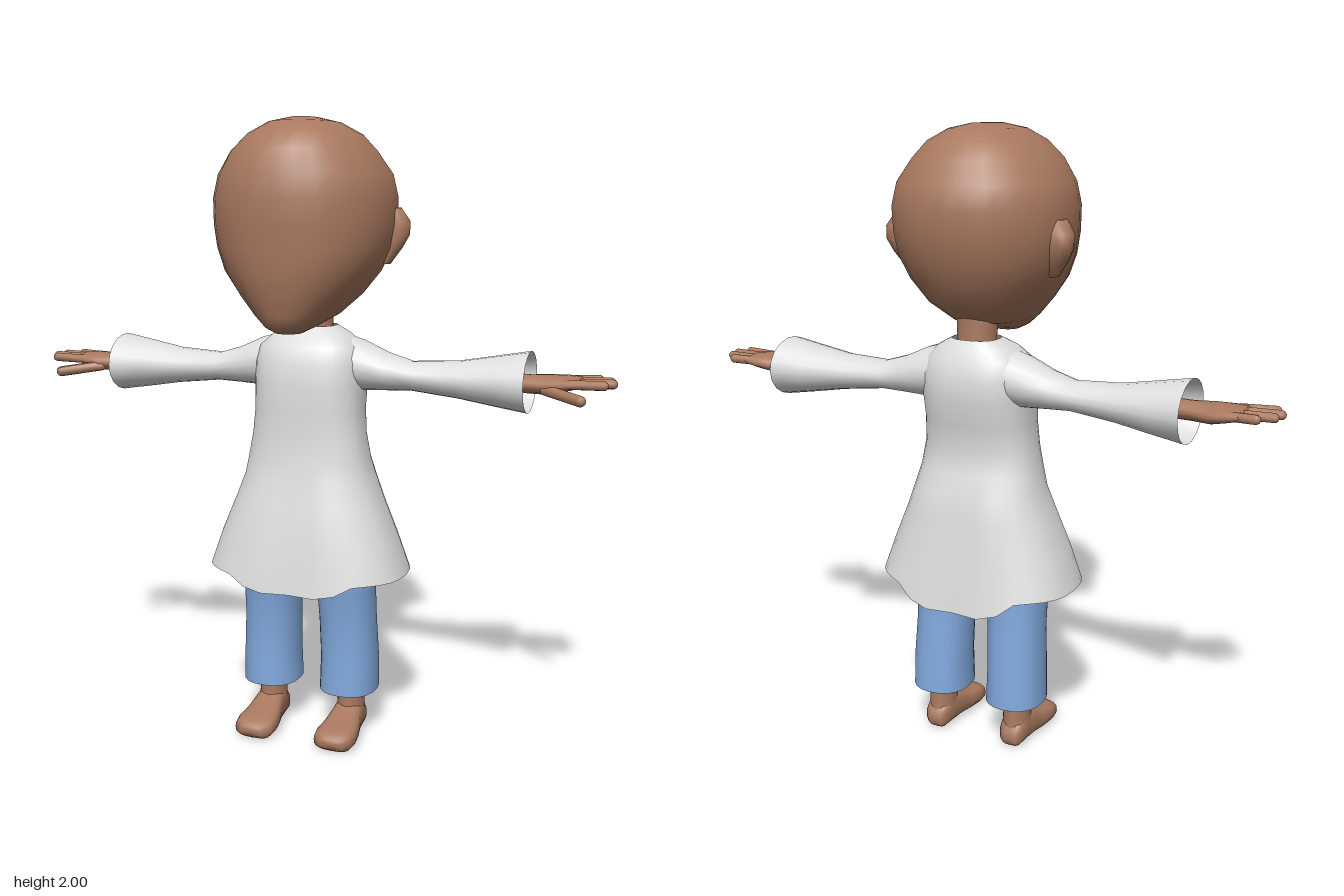
import * as THREE from 'three';

const skin = new THREE.MeshStandardMaterial({ color: 0xa9795f });
skin.name = 'skin';
const coatCloth = new THREE.MeshStandardMaterial({ color: 0xdedede, side: THREE.DoubleSide });
coatCloth.name = 'white cloth';
const denim = new THREE.MeshStandardMaterial({ color: 0x82aade, side: THREE.DoubleSide });
denim.name = 'blue denim';

// Smooth skin over superellipse sections [w, u0, u1, v0, v1], w rising along the axis.
// (u, v) is (x, z) for axis y, (z, y) for axis x and (y, x) for axis z.
function loft(axis, sections, { n = 20, e = 2, caps = '', warp } = {}) {
  const pos = [], index = [];
  const put = (w, u, v, s = 0) => {
    const p = axis === 'y' ? new THREE.Vector3(u, w, v)
      : axis === 'x' ? new THREE.Vector3(w, v, u) : new THREE.Vector3(v, u, w);
    if (warp) warp(p, s);
    pos.push(p.x, p.y, p.z);
  };
  const pw = (t) => Math.sign(t) * Math.abs(t) ** (2 / e);
  for (const [w, u0, u1, v0, v1] of sections) {
    for (let j = 0; j < n; j++) {
      const a = (j / n) * Math.PI * 2, s = Math.sin(a);
      put(w, (u0 + u1) / 2 + (u1 - u0) / 2 * pw(Math.cos(a)), (v0 + v1) / 2 + (v1 - v0) / 2 * pw(s), s);
    }
  }
  const last = sections.length - 1;
  for (let i = 0; i < last; i++) {
    for (let j = 0; j < n; j++) {
      const a = i * n + j, b = i * n + (j + 1) % n;
      index.push(a, a + n, b, b, a + n, b + n);
    }
  }
  for (const [flag, i] of [['s', 0], ['e', last]]) {
    if (!caps.includes(flag)) continue;
    const [w, u0, u1, v0, v1] = sections[i], c = pos.length / 3;
    put(w, (u0 + u1) / 2, (v0 + v1) / 2);
    for (let j = 0; j < n; j++) {
      const a = i * n + j, b = i * n + (j + 1) % n;
      index.push(...(i ? [a, c, b] : [a, b, c]));
    }
  }
  const g = new THREE.BufferGeometry();
  g.setAttribute('position', new THREE.Float32BufferAttribute(pos, 3));
  g.setIndex(index);
  g.computeVertexNormals();
  return g;
}

// Rounded stick between two points
function stick(from, to, r) {
  const a = new THREE.Vector3(...from), b = new THREE.Vector3(...to);
  const d = b.clone().sub(a), g = new THREE.CapsuleGeometry(r, d.length(), 4, 10);
  g.applyQuaternion(new THREE.Quaternion().setFromUnitVectors(new THREE.Vector3(0, 1, 0), d.normalize()));
  const m = a.add(b).multiplyScalar(0.5);
  return g.translate(m.x, m.y, m.z);
}

function mirrored(geometry) {
  const g = geometry.clone().scale(-1, 1, 1), ix = g.index.array;
  for (let i = 0; i < ix.length; i += 3) [ix[i], ix[i + 1]] = [ix[i + 1], ix[i]];
  g.computeVertexNormals();
  return g;
}

export function createModel() {
  const model = new THREE.Group();
  model.name = 'figure';
  const add = (name, geometry, material) => {
    const m = new THREE.Mesh(geometry, material);
    m.name = name;
    model.add(m);
  };
  const pair = (name, geometry, material) => {
    add('left' + name, geometry, material);
    add('right' + name, mirrored(geometry), material);
  };
  // Rows [y, half width, back z, front z] for parts centred on x = 0
  const sym = (rows) => rows.map(([y, w, b, f]) => [y, -w, w, b, f]);

  // Head with a slanted jaw, ears and neck
  add('head', loft('y', sym([
    [1.357, 0.04, 0.11, 0.2], [1.375, 0.075, 0.05, 0.232], [1.41, 0.125, -0.1, 0.25],
    [1.47, 0.185, -0.19, 0.268], [1.54, 0.238, -0.235, 0.285], [1.61, 0.268, -0.268, 0.29],
    [1.68, 0.28, -0.285, 0.295], [1.76, 0.281, -0.295, 0.3], [1.83, 0.265, -0.28, 0.287],
    [1.9, 0.218, -0.24, 0.268], [1.95, 0.17, -0.2, 0.22], [1.985, 0.105, -0.14, 0.16],
    [2.0, 0.04, -0.06, 0.08],
  ]), { n: 28, e: 2.15, caps: 'se' }), skin);
  pair('Ear', loft('y', [
    [1.56, 0.23, 0.26, -0.06, -0.02], [1.61, 0.22, 0.295, -0.09, -0.015],
    [1.65, 0.22, 0.316, -0.105, -0.015], [1.69, 0.22, 0.316, -0.105, -0.015],
    [1.73, 0.22, 0.29, -0.085, -0.02],
  ], { n: 12, caps: 'se' }), skin);
  add('neck', loft('y', sym([
    [1.28, 0.075, -0.13, 0], [1.36, 0.062, -0.125, -0.005], [1.45, 0.068, -0.125, 0.01],
  ])), skin);

  // Flared coat: hem dips at front and back, with a shallow centre pleat
  add('coat', loft('y', sym([
    [0.57, 0.332, -0.255, 0.192], [0.68, 0.293, -0.23, 0.17], [0.8, 0.244, -0.208, 0.142],
    [0.88, 0.214, -0.195, 0.12], [0.94, 0.2, -0.165, 0.108], [1.02, 0.185, -0.155, 0.1],
    [1.1, 0.178, -0.17, 0.1], [1.18, 0.18, -0.187, 0.1], [1.25, 0.18, -0.187, 0.092],
    [1.3, 0.165, -0.17, 0.075], [1.335, 0.125, -0.152, 0.045], [1.362, 0.075, -0.135, 0.003],
  ]), {
    n: 32, e: 2.5,
    warp: (p, s) => {
      if (p.y < 0.86 && Math.abs(s) > 0.99) p.z -= Math.sign(s) * 0.015;
      if (p.y < 0.6) p.y -= THREE.MathUtils.smoothstep(Math.abs(s), 0.8, 0.99) * (s > 0 ? 0.045 : 0.065);
    },
  }), coatCloth);

  // Sleeves, open at the cuff
  pair('Sleeve', loft('x', [
    [0.08, -0.15, 0.03, 1.165, 1.345], [0.17, -0.155, 0.03, 1.158, 1.318],
    [0.25, -0.142, 0.012, 1.162, 1.282], [0.33, -0.133, 0, 1.165, 1.258],
    [0.48, -0.152, 0.008, 1.148, 1.266], [0.6, -0.18, 0.026, 1.128, 1.287],
    [0.697, -0.202, 0.042, 1.113, 1.304],
  ], { n: 18 }), coatCloth);

  // Forearm and palm, fingers and thumb
  pair('Hand', loft('x', [
    [0.35, -0.1, -0.03, 1.18, 1.245], [0.6, -0.1, -0.025, 1.18, 1.24],
    [0.7, -0.105, -0.015, 1.178, 1.236], [0.76, -0.135, 0.01, 1.178, 1.238],
    [0.81, -0.145, 0.008, 1.19, 1.238], [0.845, -0.142, 0.003, 1.2, 1.235],
    [0.855, -0.135, -0.005, 1.207, 1.23],
  ], { n: 16, caps: 'e' }), skin);
  const fingers = [[-0.118, -0.132, 0.897], [-0.085, -0.09, 0.937], [-0.048, -0.048, 0.947], [-0.013, -0.007, 0.925]];
  fingers.forEach(([z0, z1, x], i) => {
    pair('Finger' + (i + 1), stick([0.82, 1.217, z0], [x, 1.22, z1], 0.0145), skin);
  });
  pair('Thumb', stick([0.755, 1.198, -0.01], [0.868, 1.182, 0.062], 0.017), skin);

  // Trousers: hips under the coat and two open legs
  add('hips', loft('y', sym([
    [0.57, 0.15, -0.11, 0.07], [0.66, 0.2, -0.14, 0.09], [0.8, 0.19, -0.14, 0.08], [0.92, 0.16, -0.13, 0.07],
  ]), { caps: 'se' }), denim);
  pair('TrouserLeg', loft('y', [
    [0.155, 0.04, 0.232, -0.155, 0.062], [0.27, 0.044, 0.23, -0.15, 0.06],
    [0.4, 0.04, 0.224, -0.138, 0.062], [0.5, 0.036, 0.222, -0.137, 0.08],
    [0.58, 0.03, 0.222, -0.137, 0.092], [0.7, 0.015, 0.205, -0.135, 0.09],
  ], { e: 2.3 }), denim);

  // Ankles and bare feet
  pair('Ankle', loft('y', [
    [0.06, 0.092, 0.188, -0.108, 0.015], [0.11, 0.096, 0.184, -0.104, 0.002],
    [0.17, 0.095, 0.185, -0.1, 0.008], [0.4, 0.08, 0.19, -0.105, 0.025],
  ], { n: 16 }), skin);
  pair('Foot', loft('z', [
    [-0.115, 0.01, 0.05, 0.115, 0.165], [-0.1, 0, 0.08, 0.1, 0.18], [-0.05, 0, 0.115, 0.092, 0.188],
    [0, 0, 0.1, 0.088, 0.192], [0.05, 0, 0.077, 0.078, 0.202], [0.1, 0, 0.07, 0.071, 0.208],
    [0.14, 0, 0.062, 0.076, 0.202], [0.157, 0.012, 0.046, 0.1, 0.18],
  ], { n: 20, e: 2.8, caps: 'se' }), skin);

  return model;
}
